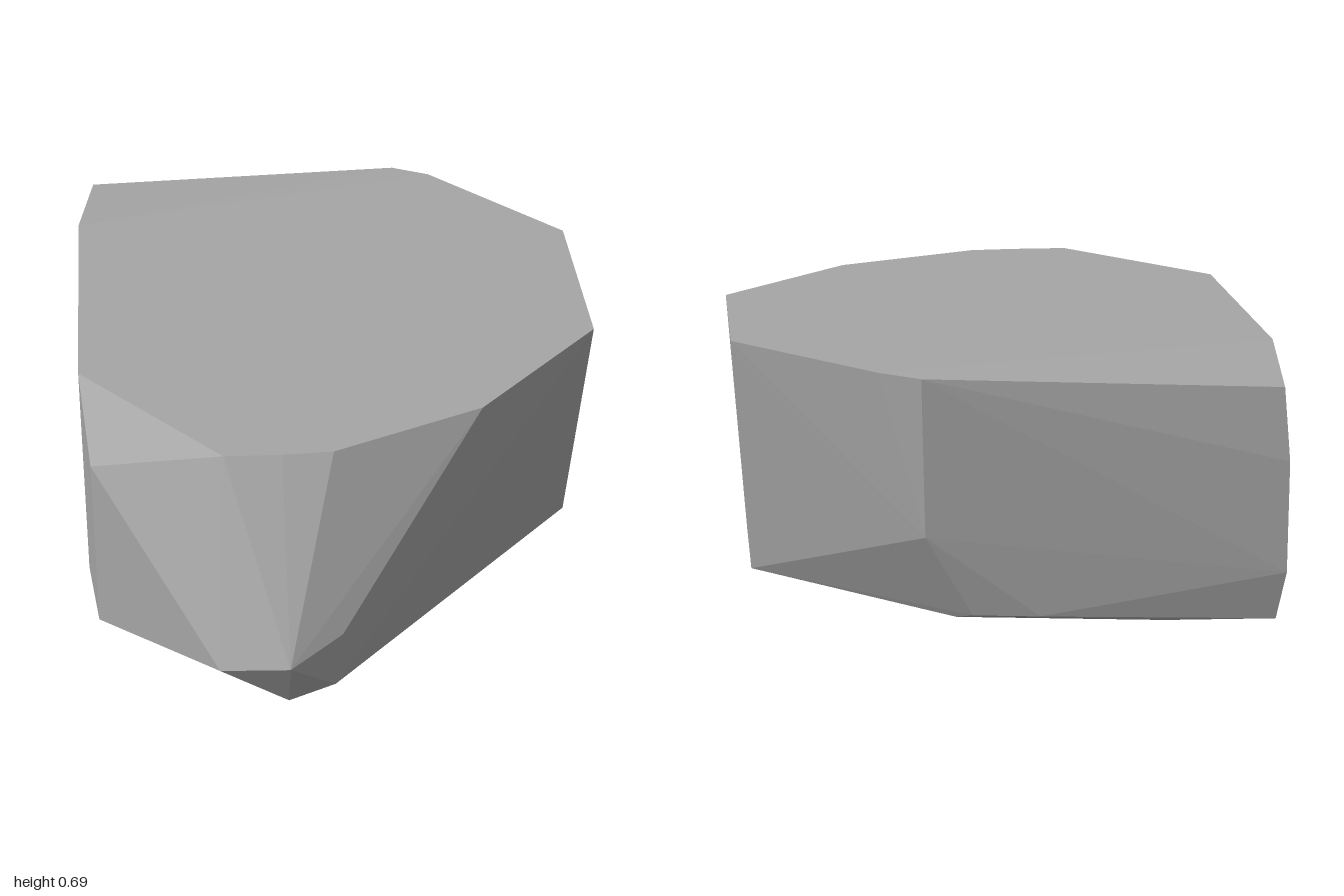
import * as THREE from 'three';
import { ConvexGeometry } from 'three/addons/geometries/ConvexGeometry.js';

// Faceted boulder: the convex hull of a few corner rings.
export function createModel() {
  const stone = new THREE.MeshStandardMaterial({ color: 0xa6a6a6 });
  stone.name = 'grey stone';

  // flat top outline [x, z]
  const top = [
    [-0.75, 0.26], [-0.36, 0.72], [-0.2, 0.725], [-0.06, 0.72], [0.37, 0.53],
    [0.745, 0.13], [0.745, -0.47], [0.37, -0.88], [-0.75, -0.62],
  ].map(([x, z]) => [x, 0.695, z]);

  // flat underside outline [x, z]
  const base = [
    [-0.2, 0.91], [0.7, 0.03], [0.7, -0.37], [0.16, -0.86], [-0.4, -0.95], [-0.7, -0.97],
  ].map(([x, z]) => [x, 0, z]);

  // pointed front and chipped left corner
  const front = [
    [-0.2, 0.175, 1], [-0.39, 0.145, 0.95], [-0.05, 0.22, 0.91], [-0.07, 0.05, 0.91],
    [-0.72, 0.615, 0.62], [-0.72, 0.095, 0.62], [-0.75, 0.035, 0.28],
  ];

  // back edge and rounded back corner
  const back = [
    [0.26, 0.69, -0.945], [0.25, 0.25, -0.93], [0.12, 0.02, -0.91], [-0.06, 0.02, -0.94],
    [-0.705, 0.65, -0.98], [-0.72, 0.45, -1], [-0.72, 0.14, -1],
    [-0.75, 0.55, -0.7], [-0.75, 0.035, -0.7],
  ];

  const points = [...top, ...base, ...front, ...back].map((p) => new THREE.Vector3(...p));
  const boulder = new THREE.Mesh(new ConvexGeometry(points), stone);
  boulder.name = 'boulder';

  const group = new THREE.Group();
  group.name = 'rock';
  group.add(boulder);
  return group;
}
